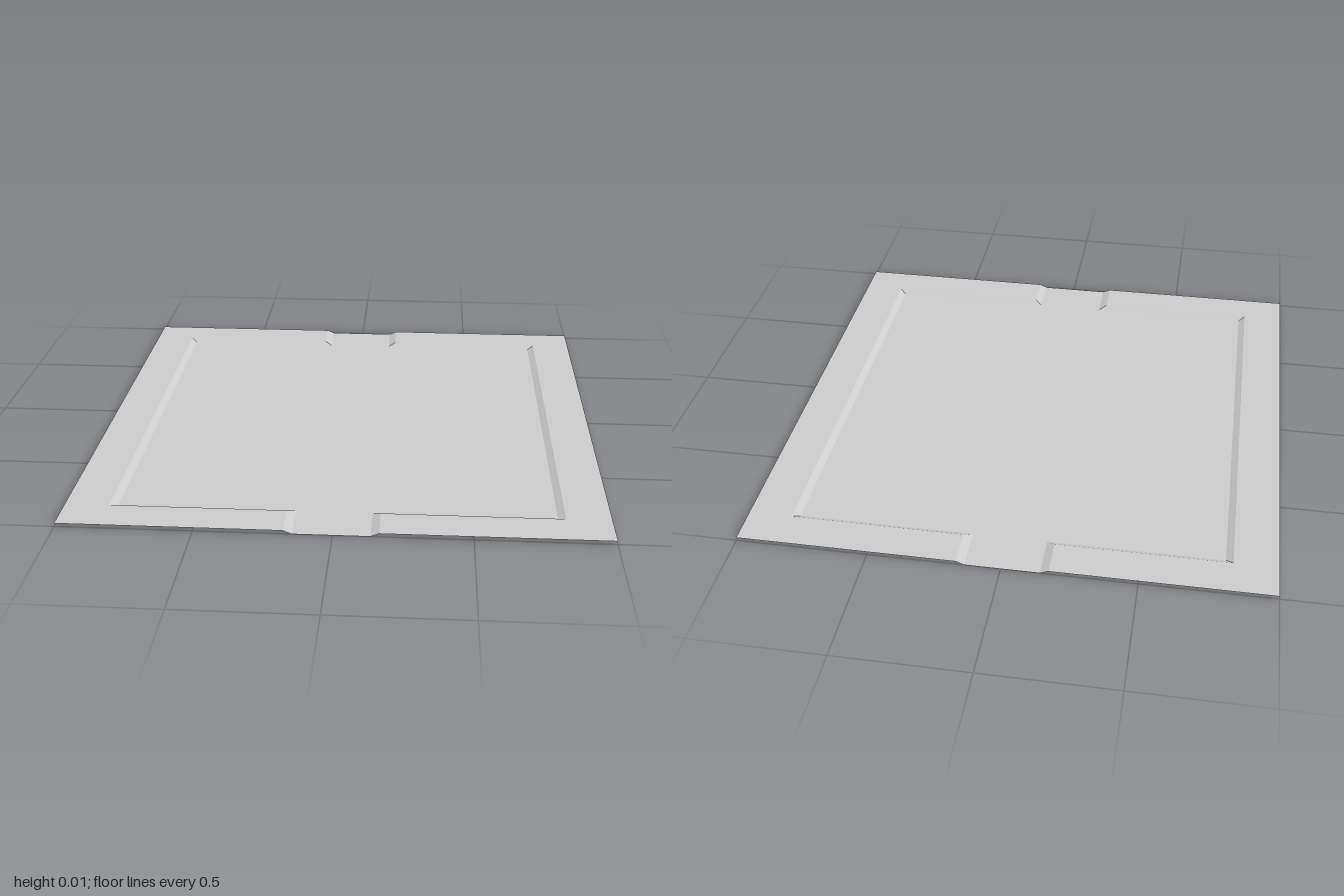
import * as THREE from 'three';

const HEIGHT = 0.013;
const material = new THREE.MeshStandardMaterial({ color: 0xcccccc, side: THREE.DoubleSide, flatShading: true });

// C-shaped outline of one side, from front opening to back opening, as [x, z]
function sideOutline(openingX, wallX, wallZ) {
  return [[openingX, 1], [openingX, wallZ], [wallX, wallZ], [wallX, -wallZ], [openingX, -wallZ], [openingX, -1]];
}

// Flat horizontal sheet facing up
function sheet(name, points, y) {
  const shape = new THREE.Shape(points.map(([x, z]) => new THREE.Vector2(x, -z)));
  const geometry = new THREE.ShapeGeometry(shape).rotateX(-Math.PI / 2).translate(0, y, 0);
  const mesh = new THREE.Mesh(geometry, material);
  mesh.name = name;
  return mesh;
}

// Sloped bank joining the low outline to the high outline
function bank(name, low, high, flip) {
  const positions = [];
  for (let i = 0; i < low.length - 1; i++) {
    const a = [low[i][0], 0, low[i][1]];
    const b = [low[i + 1][0], 0, low[i + 1][1]];
    const c = [high[i + 1][0], HEIGHT, high[i + 1][1]];
    const d = [high[i][0], HEIGHT, high[i][1]];
    const corners = flip ? [a, b, c, a, c, d] : [a, c, b, a, d, c];
    positions.push(...corners.flat());
  }
  const geometry = new THREE.BufferGeometry();
  geometry.setAttribute('position', new THREE.Float32BufferAttribute(positions, 3));
  geometry.computeVertexNormals();
  const mesh = new THREE.Mesh(geometry, material);
  mesh.name = name;
  return mesh;
}

export function createModel() {
  const group = new THREE.Group();
  group.name = 'sunkenFloorTile';

  const lowLeft = sideOutline(0.135, 0.807, 0.83);
  const highLeft = sideOutline(0.166, 0.834, 0.853);
  const lowRight = sideOutline(-0.145, -0.807, 0.83);
  const highRight = sideOutline(-0.176, -0.834, 0.853);

  // Sunken floor with an opening at front and back
  group.add(sheet('floor', [...lowLeft, ...lowRight.slice().reverse()], 0));

  // Raised rims and their banks
  group.add(sheet('leftRim', [...highLeft, [1, -1], [1, 1]], HEIGHT));
  group.add(sheet('rightRim', [...highRight, [-1, -1], [-1, 1]], HEIGHT));
  group.add(bank('leftBank', lowLeft, highLeft, true));
  group.add(bank('rightBank', lowRight, highRight, false));

  return group;
}
